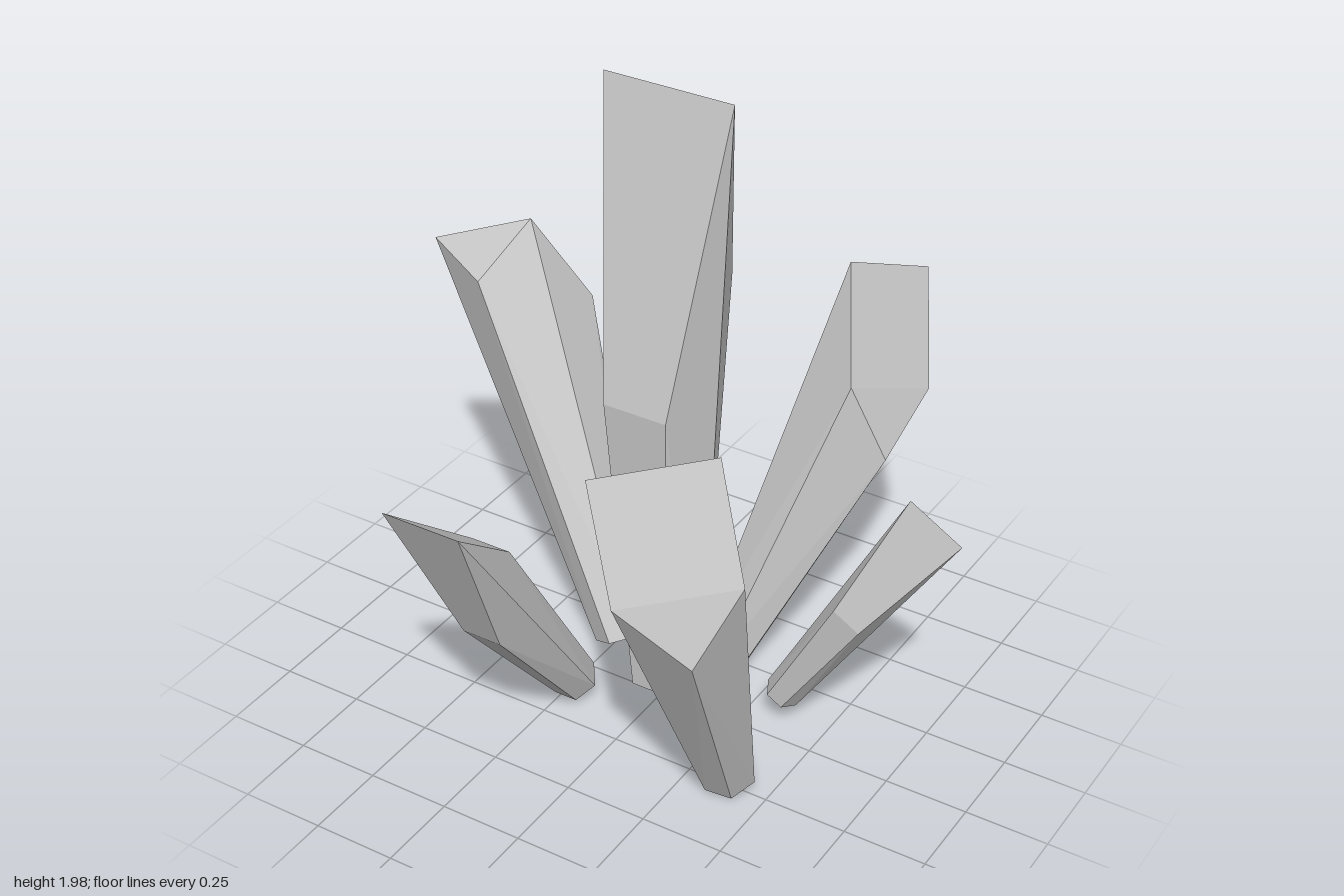
import * as THREE from 'three';
import { ConvexGeometry } from 'three/addons/geometries/ConvexGeometry.js';

const material = new THREE.MeshStandardMaterial({ color: 0xcccccc, flatShading: true });

// Six-sided tapered shaft; each top corner has its own height, which cuts the tip.
function crystalGeometry(baseRadius, topRadius, heights) {
  const points = [];
  heights.forEach((h, i) => {
    const c = Math.cos(i * Math.PI / 3), s = Math.sin(i * Math.PI / 3);
    points.push(new THREE.Vector3(c * baseRadius, 0, s * baseRadius));
    points.push(new THREE.Vector3(c * topRadius, h, s * topRadius));
  });
  return new ConvexGeometry(points);
}

export function createModel() {
  const group = new THREE.Group();

  // Chisel tip: ridge across two opposite corners. Slanted tip: off-centre ridge.
  const chisel = crystalGeometry(0.115, 0.1975, [1.89, 0.99, 0.99, 1.89, 1.29, 1.29]);
  const slanted = crystalGeometry(0.082, 0.197, [1.175, 1.31, 1.02, 0.84, 1.02, 1.31]);

  // base: centre of the foot, axis: growth direction, side: direction of the first corner
  function addCrystal(name, geometry, scale, base, axis, side) {
    const y = new THREE.Vector3(...axis).normalize();
    const z = new THREE.Vector3(...side).cross(y).normalize();
    const x = y.clone().cross(z);
    const mesh = new THREE.Mesh(geometry, material);
    mesh.name = name;
    mesh.quaternion.setFromRotationMatrix(new THREE.Matrix4().makeBasis(x, y, z));
    mesh.position.set(...base);
    mesh.scale.setScalar(scale);
    group.add(mesh);
  }

  addCrystal('centralCrystal', chisel, 1, [0.02, 0.11, 0], [0, 1, 0], [1, 0, 0]);
  addCrystal('smallFrontCrystal', chisel, 0.616, [-0.22, 0.075, 0.13], [-0.01, 0.945, 0.68], [1, 0, 0]);
  addCrystal('smallSideCrystal', chisel, 0.47, [0.356, 0.113, -0.09], [0.51, 0.86, 0], [0.86, -0.51, 0]);
  addCrystal('rightCrystal', slanted, 1, [-0.217, 0.075, -0.125], [-0.529, 1.195, -0.18], [0.06, 0.17, 0.98]);
  addCrystal('backCrystal', slanted, 1, [0.078, 0.055, -0.228], [0.277, 0.911, -0.303], [-0.915, 0.166, -0.367]);
  addCrystal('frontCrystal', slanted, 1, [0.371, 0.052, 0.24], [0.039, 0.935, 0.353], [-0.575, 0.313, -0.757]);

  return group;
}
